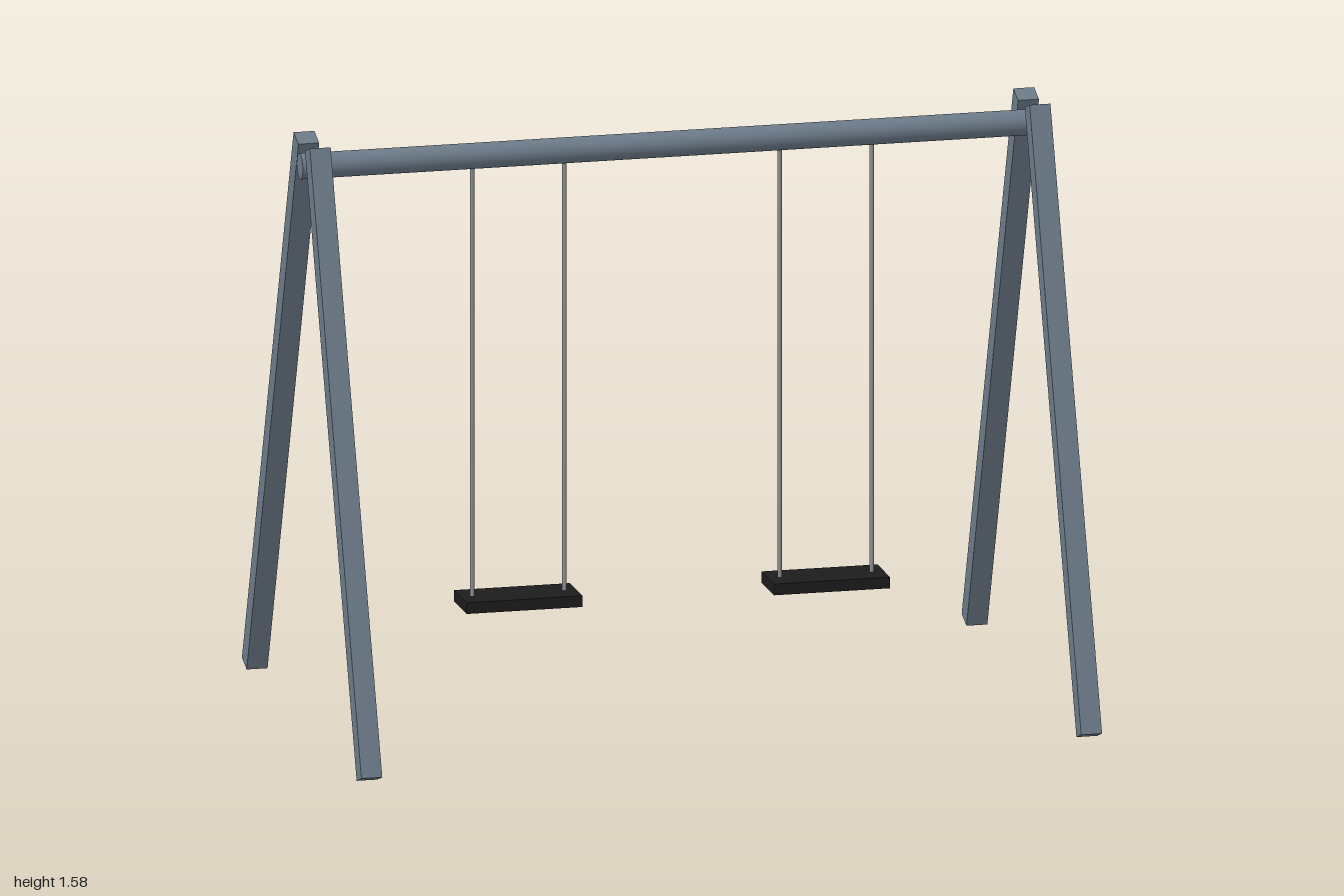
import * as THREE from 'three';

const steel = new THREE.MeshStandardMaterial({ color: 0x6c7a89 });
steel.name = 'slate steel';
const chain = new THREE.MeshStandardMaterial({ color: 0x909090 });
chain.name = 'grey chain';
const rubber = new THREE.MeshStandardMaterial({ color: 0x1c1c1c });
rubber.name = 'black rubber';

export function createModel() {
  const model = new THREE.Group();
  model.name = 'swingSet';

  const add = (parent, name, geometry, material, x, y, z) => {
    const mesh = new THREE.Mesh(geometry, material);
    mesh.name = name;
    mesh.position.set(x, y, z);
    parent.add(mesh);
    return mesh;
  };

  // Round top beam
  const beamY = 1.506;
  add(model, 'topBeam', new THREE.CylinderGeometry(0.034, 0.034, 2, 32), steel, 0, beamY, 0)
    .rotation.z = Math.PI / 2;

  // Four square legs leaning in towards the beam
  const legGeometry = new THREE.BoxGeometry(0.056, 1.656, 0.056);
  for (const sx of [-1, 1]) {
    for (const sz of [-1, 1]) {
      const name = (sz > 0 ? 'front' : 'back') + (sx > 0 ? 'Left' : 'Right') + 'Leg';
      add(model, name, legGeometry, steel, sx * 0.967, 0.788, sz * 0.346)
        .rotation.x = -sz * THREE.MathUtils.degToRad(20);
    }
  }

  // Two swings, each a flat seat on two thin hangers
  const seatY = 0.306;
  const hangerGeometry = new THREE.CylinderGeometry(0.006, 0.006, beamY - seatY, 20);
  const seatGeometry = new THREE.BoxGeometry(0.312, 0.03, 0.138);
  for (const side of [-1, 1]) {
    const swing = new THREE.Group();
    swing.name = side > 0 ? 'leftSwing' : 'rightSwing';
    swing.position.x = side * 0.413;
    add(swing, 'seat', seatGeometry, rubber, 0, seatY, 0);
    for (const sx of [-1, 1]) {
      add(swing, 'hanger', hangerGeometry, chain, sx * 0.124, (beamY + seatY) / 2, 0);
    }
    model.add(swing);
  }

  return model;
}
